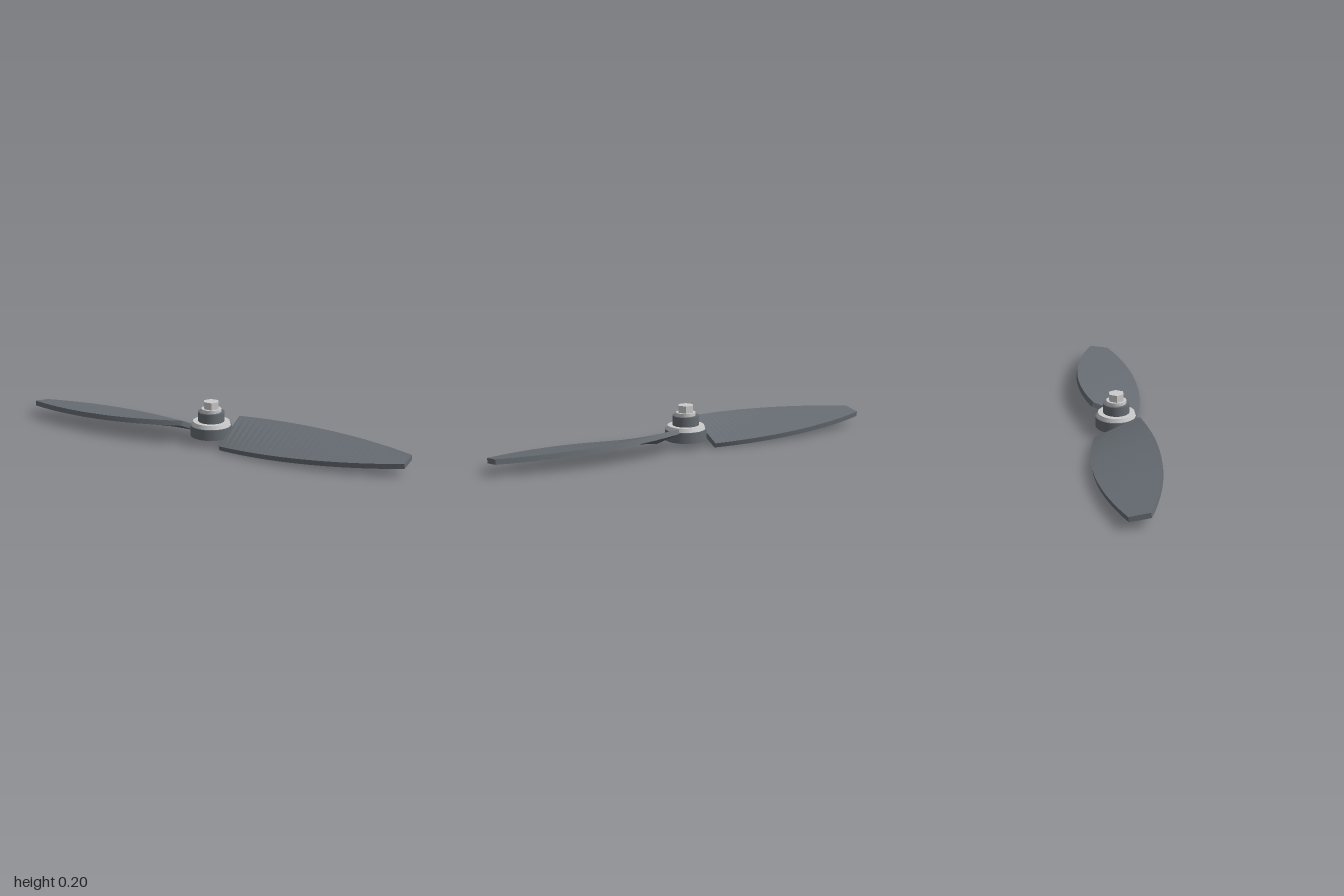
import * as THREE from 'three';

const DARK = 0x666c72;
const LIGHT = 0xcccccc;
const MID_Y = 0.0585;   // height of the blade axis

function material(color, extra = {}) {
  return new THREE.MeshStandardMaterial({ color, ...extra });
}

// Cylinder standing between two heights
function disc(name, rTop, rBottom, y0, y1, color, sides = 64) {
  const geo = new THREE.CylinderGeometry(rTop, rBottom, y1 - y0, sides);
  const mesh = new THREE.Mesh(geo, material(color, { flatShading: sides < 12 }));
  mesh.name = name;
  mesh.position.y = (y0 + y1) / 2;
  return mesh;
}

// Rectangular section of the blade at x: pitch eases off and chord bulges toward the tip
function bladeSection(x) {
  const t = (x - 0.1) / 0.9;
  const halfChord = 0.154 - 0.365 * (x - 0.46) ** 2;
  const rise = THREE.MathUtils.lerp(0.047, 0.0075, t);
  const angle = Math.atan2(rise, halfChord);
  const ny = 0.0122 * Math.cos(angle), nz = 0.0122 * Math.sin(angle);
  return [
    [x, MID_Y + rise + ny, -halfChord + nz],  // back top
    [x, MID_Y - rise + ny, halfChord + nz],   // front top
    [x, MID_Y - rise - ny, halfChord - nz],   // front bottom
    [x, MID_Y + rise - ny, -halfChord - nz],  // back bottom
  ];
}

function bladeGeometry(segments = 30) {
  const pos = [];
  const quad = (a, b, c, d) => pos.push(...a, ...b, ...c, ...a, ...c, ...d);
  const rings = [];
  for (let i = 0; i <= segments; i++) rings.push(bladeSection(0.1 + 0.9 * i / segments));
  for (let i = 0; i < segments; i++) {
    const a = rings[i], b = rings[i + 1];
    for (let k = 0; k < 4; k++) {
      const n = (k + 1) % 4;
      quad(a[k], a[n], b[n], b[k]);
    }
  }
  // root and tip caps
  const root = rings[0], tip = rings[segments];
  quad(root[3], root[2], root[1], root[0]);
  quad(tip[0], tip[1], tip[2], tip[3]);
  const geo = new THREE.BufferGeometry();
  geo.setAttribute('position', new THREE.Float32BufferAttribute(pos, 3));
  geo.computeVertexNormals();
  return geo;
}

export function createModel() {
  const model = new THREE.Group();
  model.name = 'propeller';

  // Two identical blades, half a turn apart
  const geo = bladeGeometry();
  ['leftBlade', 'rightBlade'].forEach((name, i) => {
    const blade = new THREE.Mesh(geo, material(DARK, { flatShading: true }));
    blade.name = name;
    blade.rotation.y = i * Math.PI;
    model.add(blade);
  });

  // Hub, stepped up to the fastening nut
  model.add(
    disc('hub', 0.1, 0.1, 0.034, 0.086, DARK),
    disc('hubCollar', 0.088, 0.094, 0.086, 0.105, LIGHT),
    disc('hubBoss', 0.063, 0.063, 0.105, 0.152, DARK),
    disc('washer', 0.048, 0.048, 0.152, 0.167, LIGHT),
  );
  const nut = disc('hexNut', 0.039, 0.039, 0.167, 0.202, LIGHT, 6);
  nut.rotation.y = Math.PI / 2;
  model.add(nut);

  return model;
}
